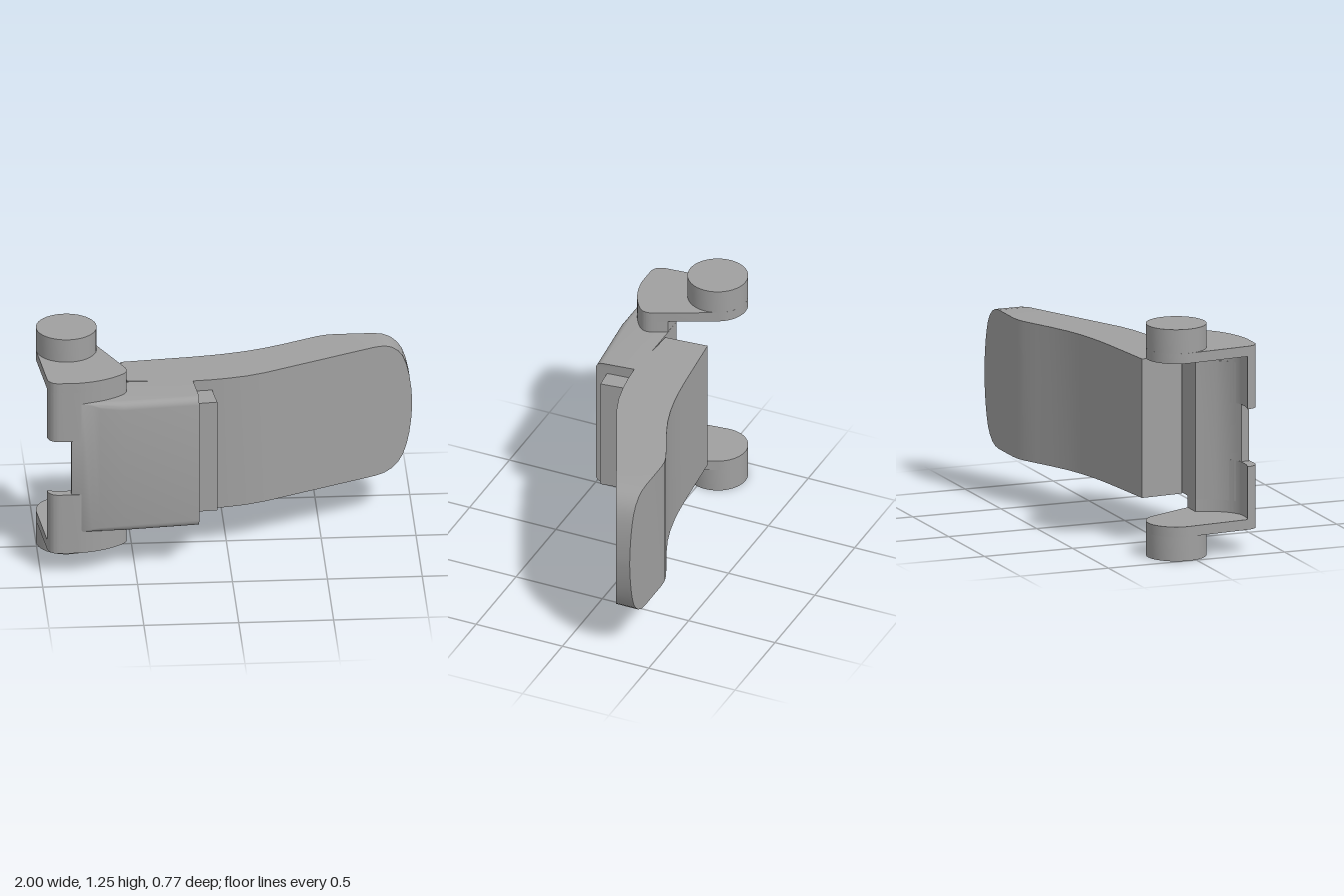
import * as THREE from 'three';
import { toCreasedNormals } from 'three/addons/utils/BufferGeometryUtils.js';

const MID = 0.625; // height of the mirror plane

// Joins cross-sections (counter-clockwise seen from +x, listed towards +x) and caps both ends.
function loft(sections) {
  const n = sections[0].length, last = (sections.length - 1) * n, index = [];
  for (let i = 0; i < sections.length - 1; i++) {
    for (let j = 0; j < n; j++) {
      const k = (j + 1) % n, a = i * n + j, b = i * n + k;
      index.push(a, b, b + n, a, b + n, a + n);
    }
  }
  for (let j = 1; j < n - 1; j++) {
    index.push(0, j + 1, j, last, last + j, last + j + 1);
  }
  const g = new THREE.BufferGeometry();
  g.setAttribute('position', new THREE.Float32BufferAttribute(sections.flat(2), 3));
  g.setIndex(index);
  return toCreasedNormals(g, 0.5);
}

// Extrudes a plan outline (x, -z) upwards from y0 to y1.
function prism(shape, y0, y1) {
  const g = new THREE.ExtrudeGeometry(shape, { depth: y1 - y0, bevelEnabled: false, curveSegments: 20 });
  g.rotateX(-Math.PI / 2).translate(0, y0, 0);
  return toCreasedNormals(g, 0.5);
}

// Rounded foot outline shared by the arm plates and the hinge blocks
function footEdge(s) {
  s.lineTo(-0.965, -0.31);
  s.quadraticCurveTo(-0.955, -0.37, -0.9, -0.37);
  s.lineTo(-0.8, -0.37);
  s.quadraticCurveTo(-0.66, -0.355, -0.565, -0.275);
  s.quadraticCurveTo(-0.525, -0.24, -0.55, -0.185);
}

export function createModel() {
  const group = new THREE.Group();
  const grey = new THREE.MeshStandardMaterial({ color: 0xa0a0a0 });
  grey.name = 'plain grey';
  const add = (name, geometry) => {
    const mesh = new THREE.Mesh(geometry, grey);
    mesh.name = name;
    group.add(mesh);
  };

  // Curved lever: x, back z, front z, half height
  const lever = [
    [-0.55, -0.125, 0.11, 0.375], [-0.35, -0.145, 0.12, 0.375], [-0.18, -0.162, 0.13, 0.375],
    [-0.08, -0.175, 0.122, 0.375], [0, -0.188, 0.11, 0.375], [0.1, -0.21, 0.089, 0.375],
    [0.2, -0.24, 0.055, 0.375], [0.32, -0.288, 0, 0.375], [0.42, -0.334, -0.046, 0.375],
    [0.5, -0.37, -0.082, 0.375], [0.55, -0.385, -0.105, 0.375], [0.6, -0.39, -0.128, 0.375],
    [0.8, -0.39, -0.219, 0.375], [0.85, -0.39, -0.242, 0.369], [0.89, -0.39, -0.26, 0.352],
    [0.925, -0.39, -0.276, 0.322], [0.95, -0.39, -0.287, 0.285], [0.97, -0.39, -0.296, 0.23],
    [0.985, -0.39, -0.303, 0.165], [0.995, -0.39, -0.308, 0.09], [1, -0.39, -0.31, 0.02],
  ];
  add('lever', loft(lever.map(([x, zb, zf, h], i) => {
    const xf = i === 0 ? -0.53 : x;
    return [[x, MID + h, zb], [xf, MID + h, zf], [xf, MID - h, zf], [x, MID - h, zb]];
  })));

  // Front housing with rounded long edges: back x, front x, back z, front z, edge radius
  const housing = [
    [-0.84, -0.84, 0.32, 0.362, 0.002], [-0.78, -0.78, 0.285, 0.369, 0.01],
    [-0.73, -0.73, 0.22, 0.375, 0.02], [-0.69, -0.69, 0.12, 0.379, 0.028],
    [-0.565, -0.565, 0.118, 0.385, 0.04], [-0.185, -0.165, 0.12, 0.345, 0.04],
  ];
  add('housing', loft(housing.map(([xb, xf, zb, zf, r]) => {
    const upper = [[xb, 0.375, zb]];
    for (let i = 0; i <= 5; i++) {
      const a = (i / 5) * Math.PI / 2;
      upper.push([xf, 0.375 - r + r * Math.cos(a), zf - r + r * Math.sin(a)]);
    }
    const lower = upper.map(([x, y, z]) => [x, -y, z]).reverse();
    return [...upper, ...lower].map(([x, y, z]) => [x, y + MID, z]);
  })));

  // Raised bar beside the housing
  const bar = new THREE.Shape();
  bar.moveTo(-0.2, -0.285);
  bar.lineTo(-0.065, -0.272);
  bar.lineTo(-0.085, -0.1);
  bar.lineTo(-0.22, -0.11);
  add('bar', prism(bar, 0.31, 0.94));

  // Arm plate running from the pivot to the foot
  const arm = new THREE.Shape();
  arm.moveTo(-0.999, 0.035);
  footEdge(arm);
  arm.lineTo(-0.696, 0.12);
  arm.absarc(-0.84, 0.05, 0.16, 0.45, Math.PI + 0.09, false);

  // Hinge block, hollowed at the back
  const hinge = new THREE.Shape();
  hinge.moveTo(-0.965, -0.305);
  footEdge(hinge);
  hinge.lineTo(-0.582, -0.12);
  hinge.lineTo(-0.69, -0.12);
  hinge.quadraticCurveTo(-0.73, -0.28, -0.84, -0.315);
  hinge.quadraticCurveTo(-0.9, -0.325, -0.965, -0.305);

  const pivot = new THREE.Shape().absarc(-0.84, 0.05, 0.16, 0, Math.PI * 2, false);
  const bored = pivot.clone();
  bored.holes.push(new THREE.Path().absarc(-0.84, 0.05, 0.03, 0, Math.PI * 2, true));

  add('lowerArm', prism(arm, 0.13, 0.185));
  add('upperArm', prism(arm, 1.065, 1.12));
  add('lowerHinge', prism(hinge, 0.13, 0.47));
  add('upperHinge', prism(hinge, 0.78, 1.12));
  add('lowerPivot', prism(bored, 0, 0.13));
  add('upperPivot', prism(pivot, 1.065, 1.25));
  return group;
}
